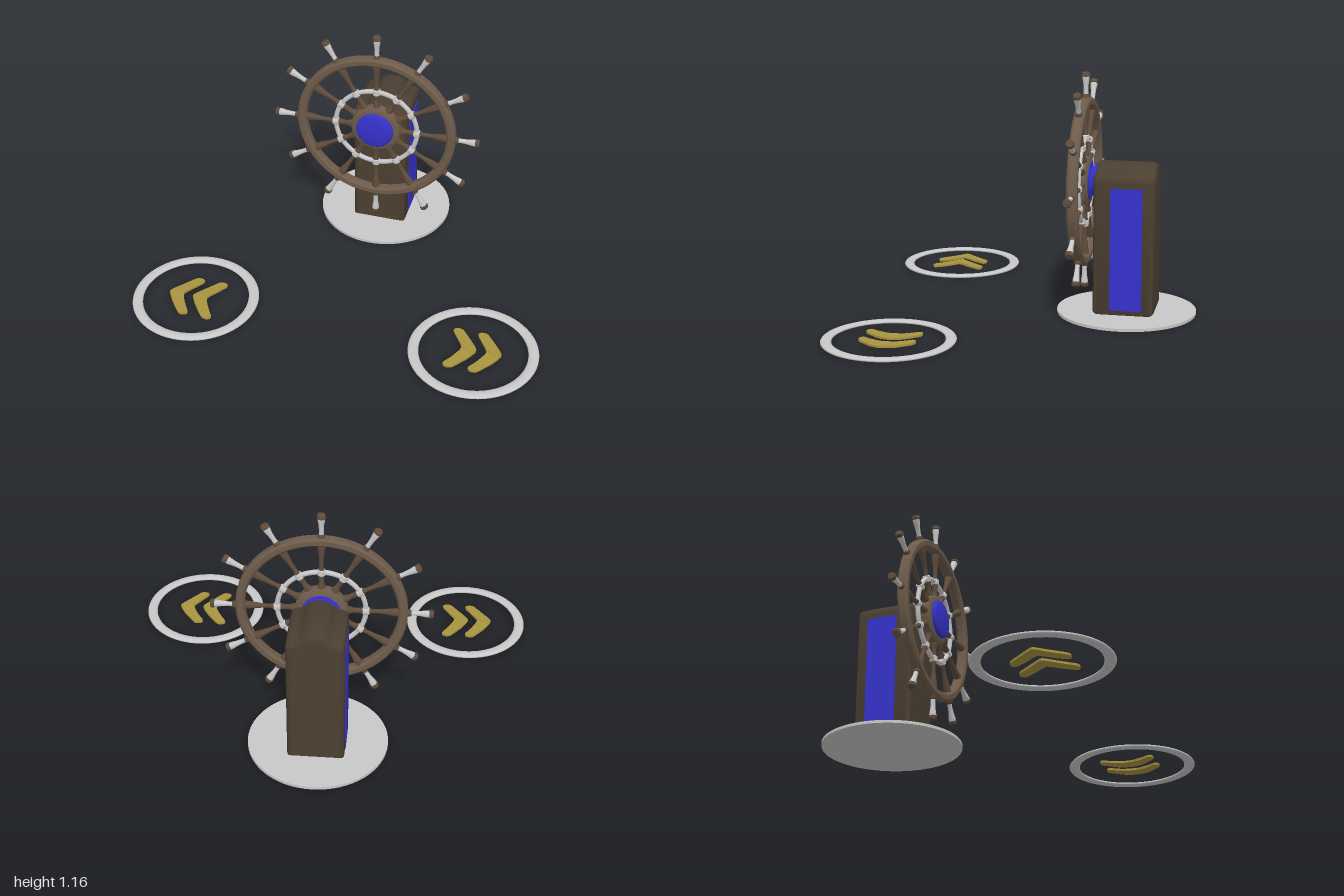
import * as THREE from 'three';
import { toCreasedNormals } from 'three/addons/utils/BufferGeometryUtils.js';

const mat = (name, color) => {
  const m = new THREE.MeshStandardMaterial({ color });
  m.name = name;
  return m;
};

export function createModel() {
  const darkWood = mat('dark wood', 0x4b3f31);
  const wood = mat('wood', 0x6e5c4b);
  const spokeWood = mat('spoke wood', 0x5f4c3c);
  const blue = mat('blue', 0x3632cc);
  const silver = mat('silver', 0xc8c8c8);
  const gold = mat('gold', 0xa8943f);

  const root = new THREE.Group();
  root.name = 'shipWheelStand';

  const add = (parent, name, geo, material, x = 0, y = 0, z = 0) => {
    const mesh = new THREE.Mesh(geo, material);
    mesh.name = name;
    mesh.position.set(x, y, z);
    parent.add(mesh);
    return mesh;
  };
  // Turned part from [radius, height] pairs, edges kept sharp
  const turned = (pts, segs) => toCreasedNormals(
    new THREE.LatheGeometry(pts.map(p => new THREE.Vector2(p[0], p[1])), segs), 0.7);
  // Turned part whose axis faces the front
  const facing = (pts, segs) => turned(pts, segs).rotateX(Math.PI / 2);

  // Round floor plate
  add(root, 'basePlate', new THREE.CylinderGeometry(0.335, 0.335, 0.014, 64), silver, 0, 0.007, -0.481);

  // Pedestal: bell-topped outline with rounded edges front and back
  const w = 0.135, bevel = 0.026;
  const outline = new THREE.Shape();
  outline.moveTo(-w + 0.015, 0.014);
  outline.lineTo(w - 0.015, 0.014);
  outline.quadraticCurveTo(w, 0.014, w, 0.03);
  outline.lineTo(w, 0.655);
  outline.quadraticCurveTo(w, 0.685, 0.105, 0.69);
  outline.quadraticCurveTo(0.08, 0.692, 0.062, 0.713);
  outline.quadraticCurveTo(0.04, 0.738, 0, 0.738);
  outline.quadraticCurveTo(-0.04, 0.738, -0.062, 0.713);
  outline.quadraticCurveTo(-0.08, 0.692, -0.105, 0.69);
  outline.quadraticCurveTo(-w, 0.685, -w, 0.655);
  outline.lineTo(-w, 0.03);
  outline.quadraticCurveTo(-w, 0.014, -w + 0.015, 0.014);
  const body = new THREE.ExtrudeGeometry(outline, {
    depth: 0.293 - 2 * bevel, bevelThickness: bevel, bevelSize: bevel,
    bevelOffset: -bevel, bevelSegments: 5, curveSegments: 8,
  });
  add(root, 'pedestal', toCreasedNormals(body, 0.7), darkWood, 0, 0, -0.625 + bevel);

  // Blue side panels
  for (const s of [-1, 1]) {
    add(root, s > 0 ? 'leftPanel' : 'rightPanel',
      new THREE.BoxGeometry(0.006, 0.59, 0.152), blue, s * (w + 0.001), 0.335, -0.491);
  }

  // Wheel
  const wheel = new THREE.Group();
  wheel.name = 'wheel';
  wheel.position.set(0, 0.636, -0.274);
  root.add(wheel);

  // Closed ring section with rounded corners
  const ring = (inner, outer, half, round) => facing([
    [outer, -half + round], [outer, half - round], [outer - round, half], [inner + round, half],
    [inner, half - round], [inner, -half + round], [inner + round, -half], [outer - round, -half],
    [outer, -half + round],
  ], 64);
  add(wheel, 'rim', ring(0.358, 0.402, 0.026, 0.011), wood);
  add(wheel, 'innerRing', new THREE.TorusGeometry(0.207, 0.012, 10, 64), silver);

  // Hub with blue cap in front and blue axle behind
  add(wheel, 'hub', facing([
    [0, -0.025], [0.112, -0.025], [0.124, -0.015], [0.124, 0.015], [0.114, 0.024],
    [0.1, 0.026], [0, 0.026],
  ], 48), wood);
  add(wheel, 'hubCap', facing([
    [0.093, 0.02], [0.093, 0.037], [0.088, 0.043], [0.078, 0.046], [0, 0.048],
  ], 48), blue);
  add(wheel, 'axle', facing([
    [0, -0.075], [0.082, -0.075], [0.088, -0.07], [0.088, -0.052], [0.07, -0.045],
    [0.07, -0.035], [0.09, -0.03], [0.09, -0.02],
  ], 48), blue);

  // Twelve spokes with collars and handles
  const spokeGeo = turned([
    [0.018, 0.11], [0.018, 0.135], [0.012, 0.15], [0.013, 0.175], [0.016, 0.2], [0.016, 0.215],
    [0.01, 0.24], [0.011, 0.28], [0.017, 0.325], [0.019, 0.345], [0.019, 0.365],
  ], 14);
  const collarGeo = turned([
    [0.013, 0.19], [0.019, 0.194], [0.019, 0.22], [0.013, 0.224],
  ], 14);
  const socketGeo = turned([
    [0.017, 0.39], [0.017, 0.412], [0.013, 0.418], [0, 0.418],
  ], 14);
  const gripGeo = turned([
    [0.012, 0.412], [0.011, 0.435], [0.013, 0.465], [0.017, 0.49], [0.017, 0.502],
  ], 14);
  const knobGeo = turned([
    [0.015, 0.5], [0.021, 0.503], [0.021, 0.514], [0.017, 0.521], [0, 0.522],
  ], 14);
  for (let i = 0; i < 12; i++) {
    const arm = new THREE.Group();
    arm.name = 'spokeArm' + (i + 1);
    arm.rotation.z = i * Math.PI / 6;
    wheel.add(arm);
    add(arm, 'spoke', spokeGeo, spokeWood);
    add(arm, 'collar', collarGeo, silver);
    add(arm, 'handleSocket', socketGeo, spokeWood);
    add(arm, 'handleGrip', gripGeo, silver);
    add(arm, 'handleKnob', knobGeo, spokeWood);
  }

  // Boomerang chevron pointing along +x, slightly raised in the middle
  const chevron = new THREE.Shape();
  chevron.moveTo(0, 0);
  chevron.quadraticCurveTo(-0.003, 0.025, -0.085, 0.122);
  chevron.quadraticCurveTo(-0.1, 0.138, -0.122, 0.131);
  chevron.quadraticCurveTo(-0.141, 0.123, -0.131, 0.106);
  chevron.quadraticCurveTo(-0.072, 0.02, -0.072, 0);
  chevron.quadraticCurveTo(-0.072, -0.02, -0.131, -0.106);
  chevron.quadraticCurveTo(-0.141, -0.123, -0.122, -0.131);
  chevron.quadraticCurveTo(-0.1, -0.138, -0.085, -0.122);
  chevron.quadraticCurveTo(-0.003, -0.025, 0, 0);
  const chevronGeo = new THREE.ExtrudeGeometry(chevron, {
    depth: 0.01, bevelEnabled: false, curveSegments: 8,
  }).rotateX(-Math.PI / 2);
  const p = chevronGeo.attributes.position;
  for (let i = 0; i < p.count; i++) {
    p.setY(i, p.getY(i) + 0.007 * Math.max(0, 1 - Math.abs(p.getZ(i)) / 0.06));
  }
  chevronGeo.computeVertexNormals();

  // Floor markers: flattened ring around two chevrons pointing outward
  const markerRing = new THREE.TorusGeometry(0.2825, 0.0255, 12, 64).rotateX(Math.PI / 2).scale(1, 0.36, 1);
  for (const s of [-1, 1]) {
    const marker = new THREE.Group();
    marker.name = s > 0 ? 'leftMarker' : 'rightMarker';
    marker.position.set(s * 0.692, 0.013, 0.507);
    marker.rotation.y = s > 0 ? 0 : Math.PI;
    root.add(marker);
    add(marker, 'markerRing', markerRing, silver);
    for (const x of [0.014, 0.134]) add(marker, 'chevron', chevronGeo, gold, x, -0.004, 0);
  }
  return root;
}
